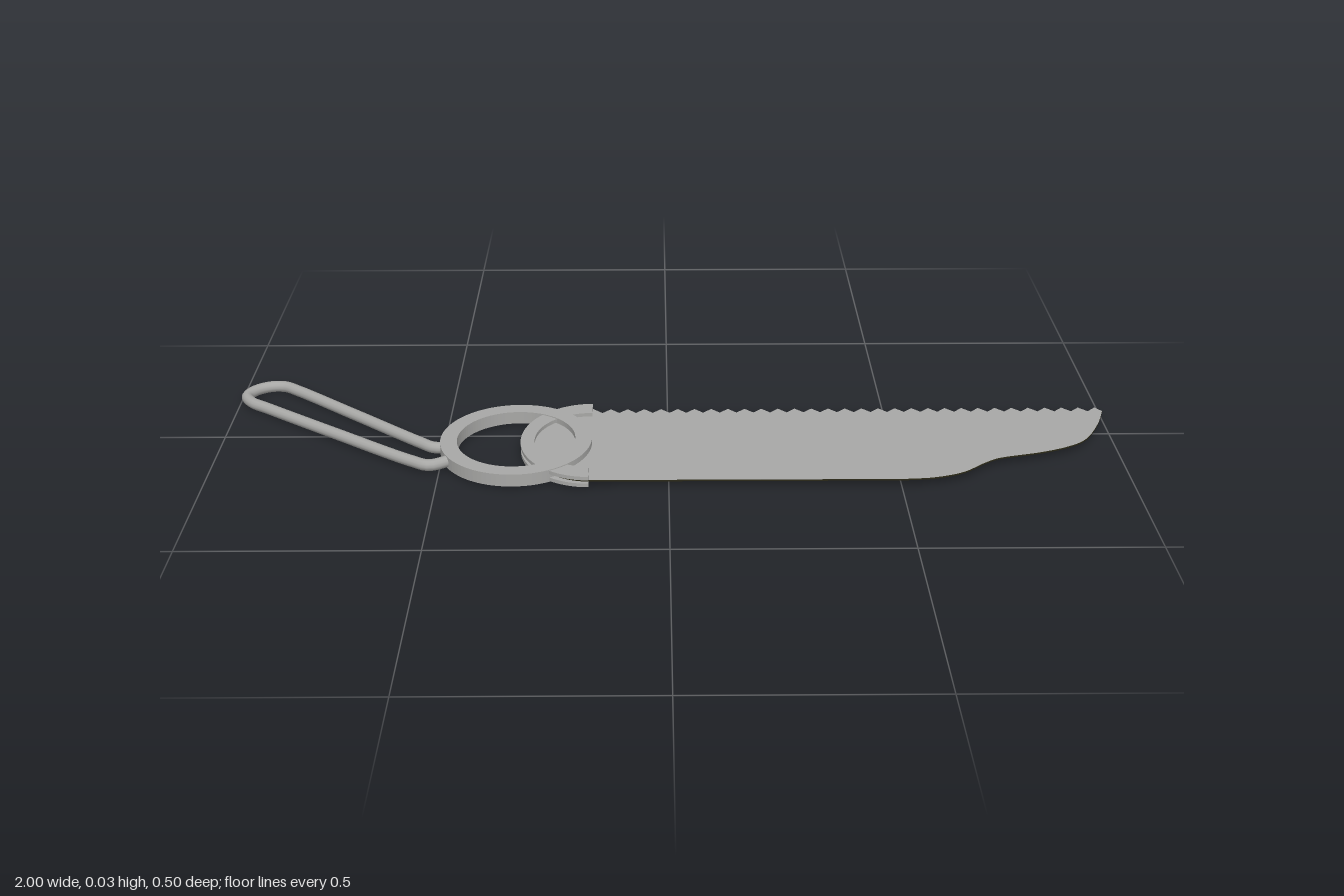
import * as THREE from 'three';

const steel = new THREE.MeshStandardMaterial({ color: 0xa8a8a6 });
steel.name = 'steel grey';
const dark = new THREE.MeshStandardMaterial({ color: 0x2a2817 });
dark.name = 'dark underside';

const CZ = 0.074; // centre line shared by ring, clamp and blade

// Outlines are drawn as (x, -z) and laid flat with their underside at y
function flat(geometry, y) {
  return geometry.rotateX(-Math.PI / 2).translate(0, y, 0);
}
function slab(shape, y, depth) {
  return flat(new THREE.ExtrudeGeometry(shape, { depth, bevelEnabled: false, curveSegments: 48 }), y);
}
function add(group, name, geometry, material) {
  const mesh = new THREE.Mesh(geometry, material);
  mesh.name = name;
  group.add(mesh);
}

// Flat finger ring
function ringShape() {
  const s = new THREE.Shape().absarc(-0.337, -CZ, 0.168, 0, Math.PI * 2);
  s.holes.push(new THREE.Path().absarc(-0.337, -CZ, 0.131, 0, Math.PI * 2, true));
  return s;
}

// Half ring that grips the blade, open toward +x
function clampShape() {
  const x = -0.172;
  return new THREE.Shape()
    .absellipse(x, -CZ, 0.155, 0.176, Math.PI / 2, Math.PI * 1.5, false)
    .absellipse(x, -CZ, 0.124, 0.129, Math.PI * 1.5, Math.PI / 2, true);
}

// Blade with rounded root, curved belly and toothed back
function bladeShape() {
  const s = new THREE.Shape();
  s.absellipse(-0.17, -CZ, 0.14, 0.17, Math.PI / 2, Math.PI * 1.5, false);
  s.lineTo(0.5, -0.245);
  s.splineThru([
    [0.57, -0.238], [0.635, -0.215], [0.69, -0.172], [0.73, -0.149], [0.82, -0.125],
    [0.89, -0.096], [0.935, -0.06], [0.975, 0.01], [1.0, 0.076],
  ].map(([x, y]) => new THREE.Vector2(x, y)));
  const teeth = 30, start = -0.165, pitch = (0.99 - start) / teeth;
  for (let i = teeth; i > 0; i--) {
    s.lineTo(start + pitch * (i - 0.5) + pitch * 0.4, 0.095);
    s.lineTo(start + pitch * (i - 1) + pitch * 0.4, 0.076);
  }
  return s;
}

// Long wire loop hooked to the ring
function loopGeometry() {
  const points = [
    [-0.488, 0.089], [-0.519, 0.087], [-0.55, 0.064], [-0.71, -0.073], [-0.872, -0.211],
    [-0.905, -0.234], [-0.935, -0.236], [-0.968, -0.219], [-0.986, -0.185], [-0.967, -0.15],
    [-0.93, -0.122], [-0.75, 0.012], [-0.56, 0.15], [-0.52, 0.17], [-0.475, 0.148],
  ].map(([x, z]) => new THREE.Vector3(x, 0.0135 + 0.005 * (x + 1) / 0.5, z));
  return new THREE.TubeGeometry(new THREE.CatmullRomCurve3(points), 120, 0.013, 12);
}

export function createModel() {
  const model = new THREE.Group();
  model.name = 'ringSaw';

  add(model, 'wireLoop', loopGeometry(), steel);
  add(model, 'fingerRing', slab(ringShape(), 0.004, 0.029), steel);

  // Two jaws leave a slit for the blade
  add(model, 'lowerClamp', slab(clampShape(), 0.006, 0.0085), steel);
  add(model, 'upperClamp', slab(clampShape(), 0.0225, 0.0085), steel);

  // Dark blade body with a bright upper face
  const blade = new THREE.Group();
  blade.name = 'blade';
  add(blade, 'bladeBody', slab(bladeShape(), 0.0165, 0.003), dark);
  add(blade, 'bladeUpperFace', flat(new THREE.ShapeGeometry(bladeShape(), 48), 0.0202), steel);
  model.add(blade);

  return model;
}
